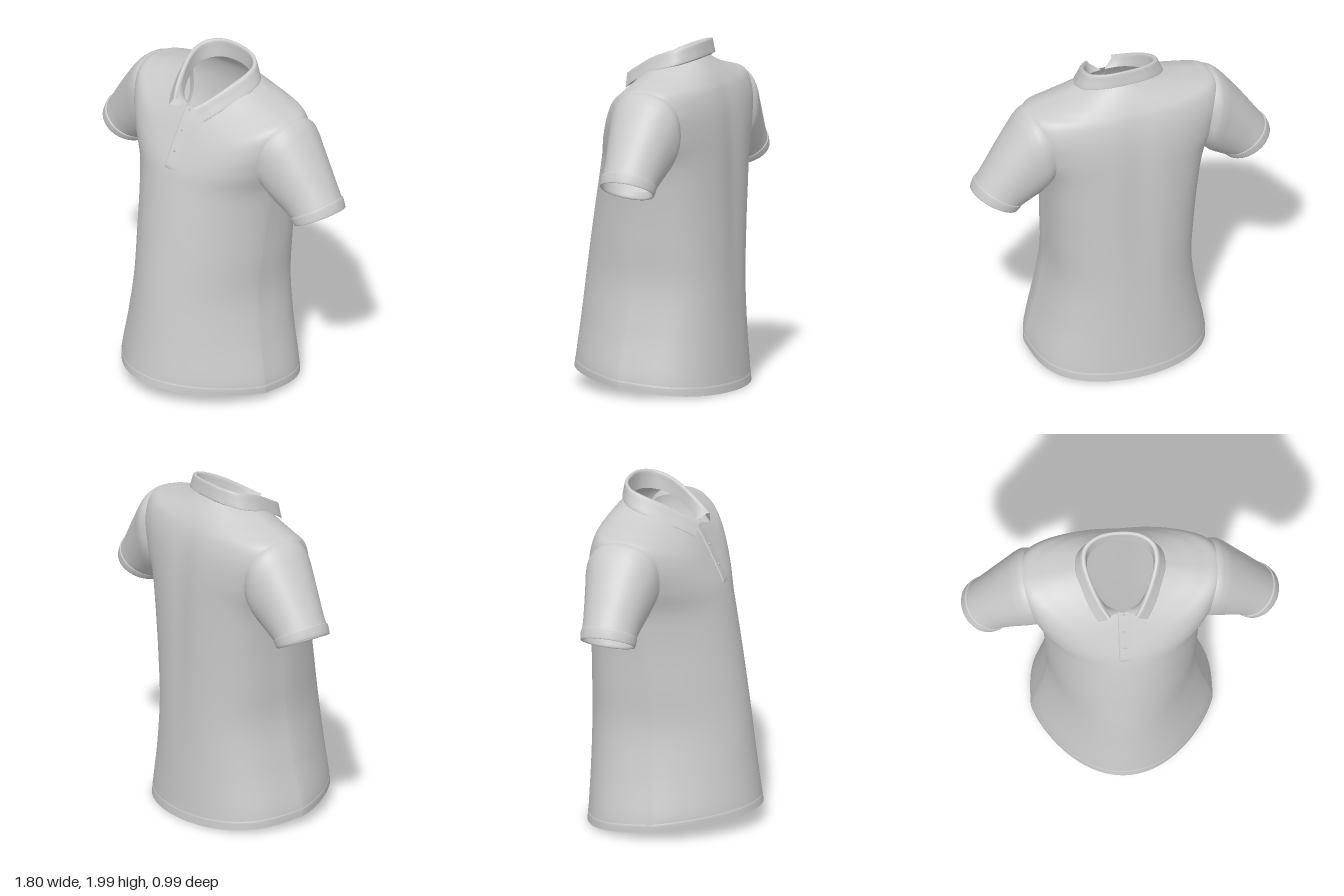
import * as THREE from 'three';

const material = new THREE.MeshStandardMaterial({ color: 0xcccccc, roughness: 0.9, side: THREE.DoubleSide });

// Smooth interpolation through rows of numbers
function sample(rows, t) {
  const last = rows.length - 1;
  const i = Math.min(Math.floor(t), last - 1), f = t - i;
  const row = k => rows[Math.max(0, Math.min(last, k))];
  return rows[0].map((_, k) => {
    const a = row(i - 1)[k], b = row(i)[k], c = row(i + 1)[k], d = row(i + 2)[k];
    return b + 0.5 * f * (c - a + f * (2 * a - 5 * b + 4 * c - d + f * (3 * (b - c) + d - a)));
  });
}

// Surface from a point rule, optionally wrapped around in u
function surface(name, rule, nu, nv, closed) {
  const positions = [], index = [];
  const columns = closed ? nu : nu + 1;
  for (let j = 0; j <= nv; j++)
    for (let i = 0; i < columns; i++) positions.push(...rule(i / nu, j / nv));
  for (let j = 0; j < nv; j++)
    for (let i = 0; i < nu; i++) {
      const n = (i + 1) % columns;
      const a = j * columns + i, b = j * columns + n;
      index.push(a, a + columns, b, b, a + columns, b + columns);
    }
  const geometry = new THREE.BufferGeometry();
  geometry.setAttribute('position', new THREE.Float32BufferAttribute(positions, 3));
  geometry.setIndex(index);
  geometry.computeVertexNormals();
  const mesh = new THREE.Mesh(geometry, material);
  mesh.name = name;
  return mesh;
}

// Torso rings, hem to neck: half width, side z, side y, front y, front z, back y, back z,
// front and back fullness (small is boxy, large is pointed)
const TORSO = [
  [0.514, 0.02, 0.045, 0.10, 0.495, 0, -0.49, 1.55, 0.62],
  [0.507, 0.02, 0.13, 0.18, 0.484, 0.09, -0.485, 1.5, 0.62],
  [0.457, 0, 0.36, 0.39, 0.457, 0.33, -0.477, 1.4, 0.62],
  [0.42, -0.02, 0.62, 0.64, 0.427, 0.60, -0.472, 1.33, 0.6],
  [0.43, -0.04, 0.88, 0.90, 0.388, 0.86, -0.47, 1.28, 0.58],
  [0.447, -0.07, 1.12, 1.14, 0.347, 1.12, -0.468, 1.2, 0.55],
  [0.474, -0.10, 1.32, 1.31, 0.312, 1.36, -0.463, 1.08, 0.52],
  [0.53, -0.12, 1.48, 1.42, 0.283, 1.52, -0.453, 0.95, 0.5],
  [0.572, -0.13, 1.64, 1.50, 0.248, 1.64, -0.435, 0.92, 0.52],
  [0.562, -0.13, 1.754, 1.57, 0.213, 1.73, -0.407, 0.95, 0.62],
  [0.47, -0.13, 1.79, 1.63, 0.183, 1.79, -0.372, 1.02, 0.75],
  [0.34, -0.13, 1.824, 1.69, 0.15, 1.84, -0.333, 1.1, 0.85],
  [0.2, -0.13, 1.87, 1.745, 0.115, 1.905, -0.278, 1.15, 0.9],
];

function torsoPoint(t, angle) {
  const [w, sideZ, sideY, frontY, frontZ, backY, backZ, frontPower, backPower] = sample(TORSO, t);
  const s = Math.sin(angle), m = Math.abs(s), front = s > 0;
  const power = front ? frontPower : backPower;
  const x = w * Math.cos(angle);
  let z = sideZ + ((front ? frontZ : backZ) - sideZ) * Math.pow(m, power);
  // Shallow hollow along the spine
  if (!front) z += 0.015 * Math.exp(-((x / 0.1) ** 2)) * Math.sin(Math.PI * t / 12) ** 2 * m;
  // Rings are flat tilted cuts below the arms and saddle shaped over the shoulders
  const yPower = THREE.MathUtils.lerp(power, 2, THREE.MathUtils.smoothstep(t, 4, 8));
  return [x, sideY + ((front ? frontY : backY) - sideY) * Math.pow(m, yPower), z];
}

// Sleeve and cuff rings: top x, top y, bottom x, bottom y, front z, back z
const SLEEVE = [
  [0.43, 1.755, 0.42, 1.37, 0.07, -0.335],
  [0.55, 1.766, 0.468, 1.315, 0.06, -0.362],
  [0.605, 1.738, 0.495, 1.28, 0.052, -0.36],
  [0.66, 1.675, 0.52, 1.252, 0.04, -0.348],
  [0.74, 1.565, 0.56, 1.225, 0.022, -0.332],
  [0.82, 1.445, 0.595, 1.203, 0.006, -0.318],
  [0.874, 1.362, 0.617, 1.195, 0, -0.312],
];
const CUFF = [
  [0.87, 1.366, 0.618, 1.2, -0.002, -0.31],
  [0.881, 1.364, 0.614, 1.194, 0.007, -0.317],
  [0.902, 1.312, 0.638, 1.167, 0.003, -0.312],
  [0.892, 1.312, 0.647, 1.177, -0.006, -0.303],
  [0.86, 1.36, 0.635, 1.21, -0.006, -0.303],
];

// Tube through arm rings; a start power below 1 squares off the first ring
function armTube(name, rows, side, steps, startPower) {
  return surface(name, (u, v) => {
    const [tx, ty, bx, by, fz, bz] = sample(rows, v * (rows.length - 1));
    const power = THREE.MathUtils.lerp(startPower, 1, v);
    const round = n => Math.sign(n) * Math.pow(Math.abs(n), power);
    const c = round(Math.cos(u * Math.PI * 2)), s = -side * round(Math.sin(u * Math.PI * 2));
    return [
      side * ((tx + bx) / 2 + c * (tx - bx) / 2),
      (ty + by) / 2 + c * (ty - by) / 2,
      (fz + bz) / 2 + s * (fz - bz) / 2,
    ];
  }, 56, steps, true);
}

// Collar edges, left front to centre back; the other half is mirrored
const STAND = [[0.01, 1.745, 0.105], [0.092, 1.765, 0.07], [0.155, 1.805, -0.02], [0.187, 1.845, -0.12],
  [0.172, 1.865, -0.2], [0.1, 1.88, -0.255], [0, 1.885, -0.27]];
const FOLD = [[0.075, 1.793, 0.17], [0.125, 1.835, 0.1], [0.185, 1.905, -0.02], [0.215, 1.952, -0.13],
  [0.197, 1.977, -0.215], [0.118, 1.994, -0.27], [0, 2, -0.285]];
const LEAF = [[0.138, 1.712, 0.15], [0.182, 1.76, 0.085], [0.235, 1.82, -0.03], [0.257, 1.86, -0.13],
  [0.23, 1.885, -0.22], [0.125, 1.908, -0.285], [0, 1.914, -0.298]];

function collar() {
  const whole = half => [...half, ...half.slice(0, -1).reverse().map(([x, y, z]) => [-x, y, z])];
  const [stand, fold, leaf] = [STAND, FOLD, LEAF].map(whole);
  const mix = (a, b, f) => a.map((n, k) => n + (b[k] - n) * f);
  return surface('collar', (u, v) => {
    const s = sample(stand, u * 12), f = sample(fold, u * 12), l = sample(leaf, u * 12);
    // Inside stand, thick rolled top, outer leaf, tucked underside
    const inner = [f[0] * 0.91, f[1] - 0.014, -0.1 + (f[2] + 0.1) * 0.91];
    const crest = mix([f[0], f[1] - 0.003, f[2]], inner, 0.3);
    const section = [s, mix(s, inner, 0.6), inner, crest, mix(f, l, 0.15), mix(f, l, 0.55), l,
      mix(l, s, 0.15), mix(l, s, 0.6)];
    return sample(section, v * (section.length - 1));
  }, 96, 40, false);
}

// Button strip lying on the chest, raised along its right edge
function placket() {
  return surface('placket', (u, v) => {
    const t = 6.85 + v * 5.15;
    const p = torsoPoint(t, Math.acos((0.048 - 0.078 * u) / sample(TORSO, t)[0]));
    const lift = u === 1 || v === 0 ? -0.002 : 0.007 * u;
    return [p[0], p[1] + 0.4 * lift, p[2] + 0.9 * lift];
  }, 16, 40, false);
}

export function createModel() {
  const shirt = new THREE.Group();
  shirt.name = 'poloShirt';

  shirt.add(surface('torso', (u, v) => torsoPoint(v * 12, u * Math.PI * 2), 120, 96, true));

  // Turned hem
  shirt.add(surface('hemBand', (u, v) => {
    const [x, y, z] = torsoPoint(v * 0.75, u * Math.PI * 2);
    const k = v === 1 ? 0.998 : 1.004;
    return [x * k, y, z * k];
  }, 120, 10, true));

  for (const side of [1, -1]) {
    const name = side > 0 ? 'left' : 'right';
    shirt.add(armTube(name + 'Sleeve', SLEEVE, side, 36, 0.82));
    shirt.add(armTube(name + 'Cuff', CUFF, side, 20, 1));
  }

  shirt.add(collar(), placket());

  for (const t of [8.15, 9.9, 11.7]) {
    const [, y, z] = torsoPoint(t, Math.PI / 2);
    const button = new THREE.Mesh(new THREE.CylinderGeometry(0.007, 0.008, 0.008, 16), material);
    button.name = 'button';
    button.position.set(0.005, y + 0.003, z + 0.006);
    button.rotation.x = 1.15;
    shirt.add(button);
  }
  return shirt;
}
